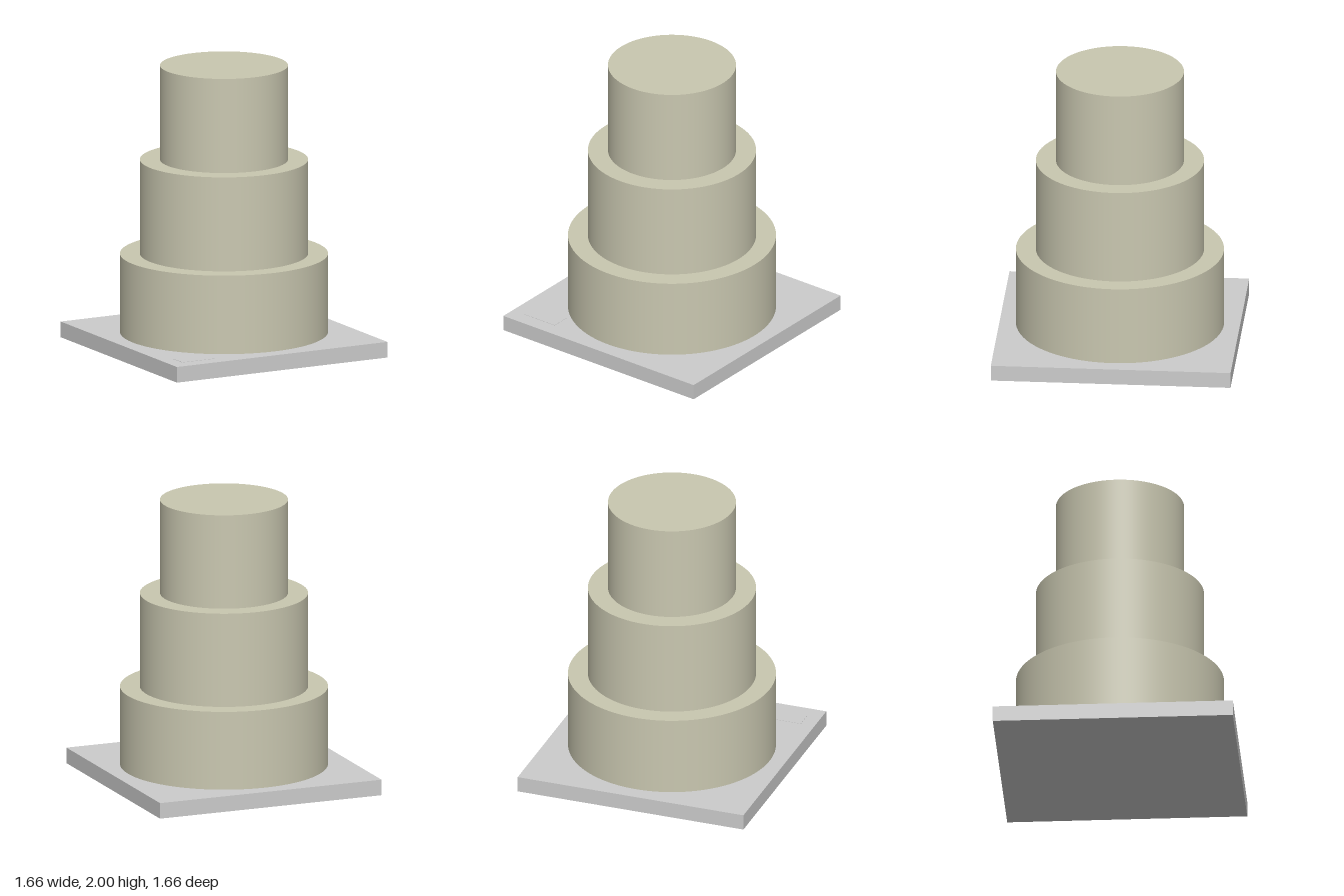
import * as THREE from 'three';

export function createModel() {
  const model = new THREE.Group();
  model.name = 'tieredCake';
  const grey = new THREE.MeshStandardMaterial({ color: 0xcccccc });
  const icing = new THREE.MeshStandardMaterial({ color: 0xc9c7b0 });

  const add = (name, geometry, material, x, y, z) => {
    const mesh = new THREE.Mesh(geometry, material);
    mesh.name = name;
    mesh.position.set(x, y, z);
    model.add(mesh);
  };

  // Square board under the cake
  const boardTop = 0.111;
  add('cakeBoard', new THREE.BoxGeometry(1.664, boardTop, 1.664), grey, 0, boardTop / 2, 0);

  // Blank label plate lying on the front corner of the board
  add('labelPlate', new THREE.BoxGeometry(0.266, 0.002, 0.132), grey, -0.598, boardTop + 0.001, 0.66);

  // Three stacked round tiers: name, radius, bottom, top
  const tiers = [
    ['bottomTier', 0.72, boardTop, 0.667],
    ['middleTier', 0.582, 0.667, 1.333],
    ['topTier', 0.443, 1.333, 2],
  ];
  for (const [name, radius, bottom, top] of tiers) {
    const geometry = new THREE.CylinderGeometry(radius, radius, top - bottom, 128);
    add(name, geometry, icing, 0, (bottom + top) / 2, 0);
  }

  return model;
}
